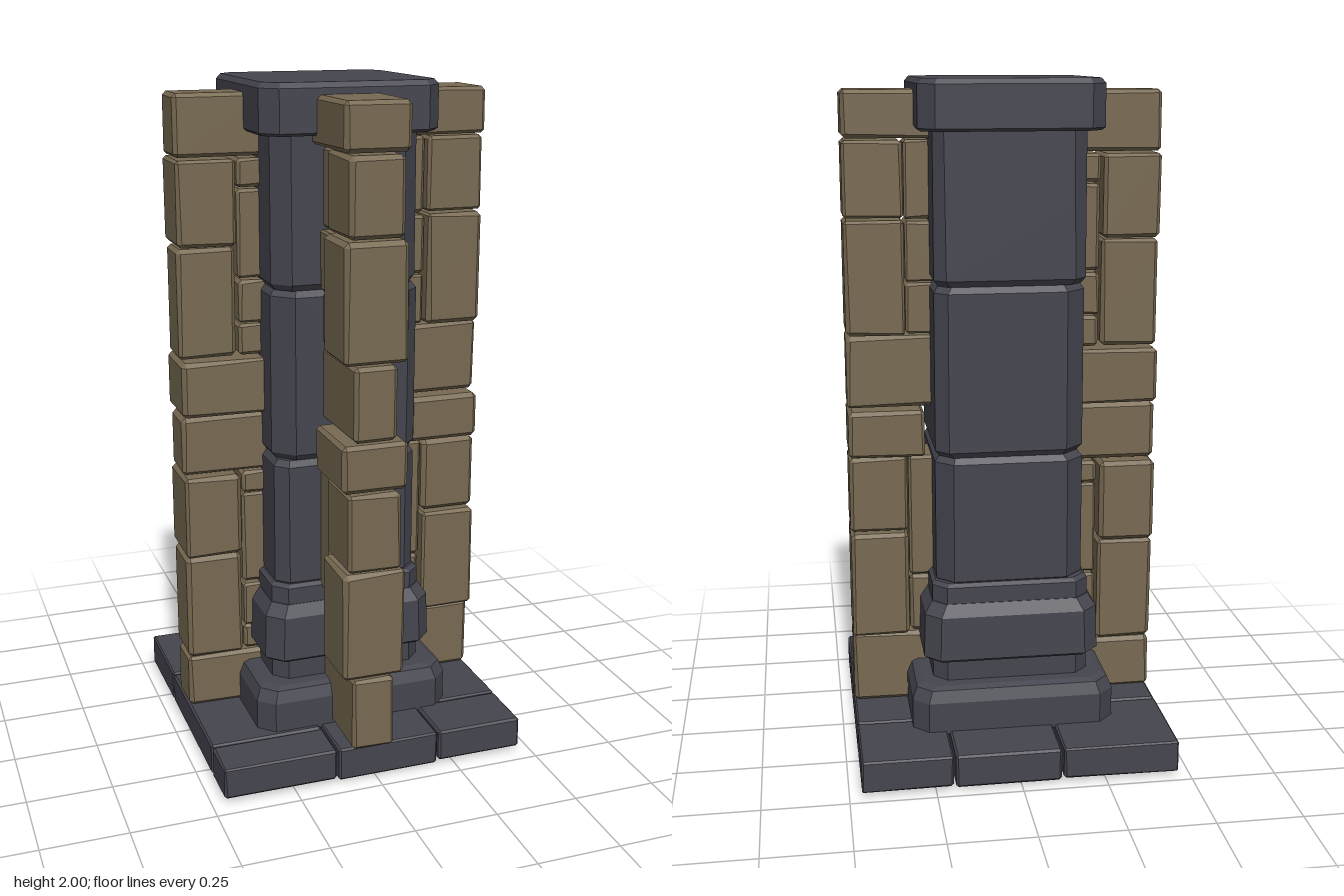
import * as THREE from 'three';
import { ConvexGeometry } from 'three/addons/geometries/ConvexGeometry.js';

const slate = new THREE.MeshStandardMaterial({ color: 0x45454f });
slate.name = 'dark slate';
const sandstone = new THREE.MeshStandardMaterial({ color: 0x786a52 });
sandstone.name = 'brown stone';

// Small seeded generator for hand-cut irregularity
let seed = 7;
function wobble(amount) {
  seed = (seed * 16807) % 2147483647;
  return (seed / 2147483647 - 0.5) * 2 * amount;
}

function addMesh(parent, name, points, material) {
  const mesh = new THREE.Mesh(new ConvexGeometry(points), material);
  mesh.name = name;
  parent.add(mesh);
}

// Box between two corners with chamfered edges, slightly uneven
function block(parent, name, x0, x1, y0, y1, z0, z1, material, bevel = 0.01) {
  const gap = 0.003;
  const lo = [x0 + gap, y0 + gap, z0 + gap];
  const hi = [x1 - gap, y1 - gap, z1 - gap];
  const points = [];
  for (let corner = 0; corner < 8; corner++) {
    const b = bevel + wobble(bevel * 0.4);
    for (let axis = 0; axis < 3; axis++) {
      const p = [0, 1, 2].map((i) => {
        const high = (corner >> i) & 1;
        const inset = i === axis ? 0 : b;
        return high ? hi[i] - inset : lo[i] + inset;
      });
      points.push(new THREE.Vector3(...p));
    }
  }
  addMesh(parent, name, points, material);
}

// Square stone with cut corners, from rings of [height, half width, corner cut]
function courseStone(parent, name, rings, chip = 0) {
  const chips = [0, 1, 2, 3].map(() => wobble(chip));
  const points = [];
  for (const [y, h, cut] of rings) {
    [[1, 1], [1, -1], [-1, -1], [-1, 1]].forEach(([sx, sz], i) => {
      const c = cut + chips[i] + wobble(chip * 0.4);
      points.push(new THREE.Vector3(sx * h, y, sz * (h - c)));
      points.push(new THREE.Vector3(sx * (h - c), y, sz * h));
    });
  }
  addMesh(parent, name, points, slate);
}

// Pier of bricks: rows are [bottom, top, half width, inner end of the outer brick]
function pier(name, rows, innerSplits, outer) {
  const group = new THREE.Group();
  group.name = name;
  for (const [y0, y1, half, inner] of rows) {
    block(group, 'pierBrick', -half, half, y0, y1, inner, outer, sandstone);
  }
  for (const splits of innerSplits) {
    for (let i = 0; i < splits.length - 1; i++) {
      const half = 0.066 + (i % 2) * 0.008;
      block(group, 'innerBrick', -half, half, splits[i], splits[i + 1], 0.2, 0.29, sandstone, 0.008);
    }
  }
  return group;
}

export function createModel() {
  seed = 7;
  const model = new THREE.Group();
  model.name = 'buttressedPillar';

  // Paved floor: [x0, x1, z0, z1, underside]
  const floor = new THREE.Group();
  floor.name = 'floor';
  const tiles = [
    [-0.467, -0.12, -0.478, -0.177, 0.012],
    [-0.467, -0.12, -0.177, 0.31, 0.012],
    [-0.467, -0.12, 0.31, 0.455, 0.012],
    [-0.12, 0.196, -0.478, -0.2, 0.008],
    [-0.12, 0.196, -0.2, 0.25, -0.003],
    [-0.12, 0.196, 0.25, 0.455, 0.006],
    [0.196, 0.467, -0.478, -0.225, 0.012],
    [0.196, 0.467, -0.225, 0.27, 0.01],
    [0.196, 0.467, 0.27, 0.455, 0.012],
  ];
  for (const [x0, x1, z0, z1, y0] of tiles) {
    block(floor, 'floorTile', x0, x1, y0, 0.113, z0, z1, slate, 0.006);
  }
  model.add(floor);

  // Central pillar: stepped base, three shaft stones and a cap
  const pillar = new THREE.Group();
  pillar.name = 'pillar';
  pillar.position.set(-0.003, 0, -0.012);
  courseStone(pillar, 'plinth', [
    [0.1, 0.302, 0.045], [0.2, 0.302, 0.045], [0.235, 0.288, 0.042], [0.243, 0.27, 0.04],
  ]);
  courseStone(pillar, 'plinthNeck', [[0.23, 0.234, 0.04], [0.32, 0.234, 0.04]]);
  courseStone(pillar, 'baseMoulding', [
    [0.308, 0.25, 0.04], [0.318, 0.262, 0.045], [0.45, 0.258, 0.045], [0.485, 0.235, 0.04],
  ]);
  courseStone(pillar, 'baseCollar', [[0.47, 0.233, 0.04], [0.535, 0.233, 0.04], [0.545, 0.222, 0.038]]);
  for (const [y0, y1] of [[0.53, 0.925], [0.925, 1.425], [1.425, 1.88]]) {
    courseStone(pillar, 'shaftStone', [
      [y0, 0.206, 0.04], [y0 + 0.018, 0.219, 0.045],
      [(y0 + y1) / 2, 0.219, 0.05], [y1 - 0.018, 0.219, 0.045], [y1, 0.206, 0.04],
    ], 0.012);
  }
  courseStone(pillar, 'cap', [
    [1.858, 0.253, 0.043], [1.866, 0.262, 0.045], [1.985, 0.262, 0.045], [2, 0.25, 0.04],
  ]);
  model.add(pillar);

  // Brick piers on the front and both sides; the back stays open
  const rows = [
    [0.11, 0.335, 0.066, 0.2], [0.335, 0.665, 0.095, 0.288], [0.665, 0.9, 0.082, 0.288],
    [0.9, 1.045, 0.1, 0.235], [1.045, 1.265, 0.066, 0.2], [1.265, 1.605, 0.095, 0.288],
    [1.605, 1.83, 0.082, 0.288], [1.83, 1.97, 0.097, 0.2],
  ];
  const splits = [[0.335, 0.52, 0.9], [1.265, 1.42, 1.6, 1.83]];
  const rightRows = [
    [0.11, 0.278, 0.07, 0.2], [0.278, 0.607, 0.08, 0.292], [0.607, 0.862, 0.095, 0.292],
    [0.862, 1.042, 0.07, 0.2], [1.042, 1.212, 0.095, 0.2], [1.212, 1.537, 0.066, 0.292],
    [1.537, 1.787, 0.085, 0.292], [1.787, 1.968, 0.07, 0.2],
  ];
  const rightSplits = [[0.278, 0.36, 0.5, 0.79, 0.862], [1.212, 1.31, 1.44, 1.7, 1.787]];

  const front = pier('frontPier', rows, splits, 0.476);
  front.position.x = -0.02;
  const left = pier('leftPier', rows, splits, 0.466);
  left.rotation.y = Math.PI / 2;
  left.position.z = -0.01;
  const right = pier('rightPier', rightRows, rightSplits, 0.468);
  right.rotation.y = -Math.PI / 2;
  right.position.z = -0.01;
  model.add(front, left, right);

  return model;
}
